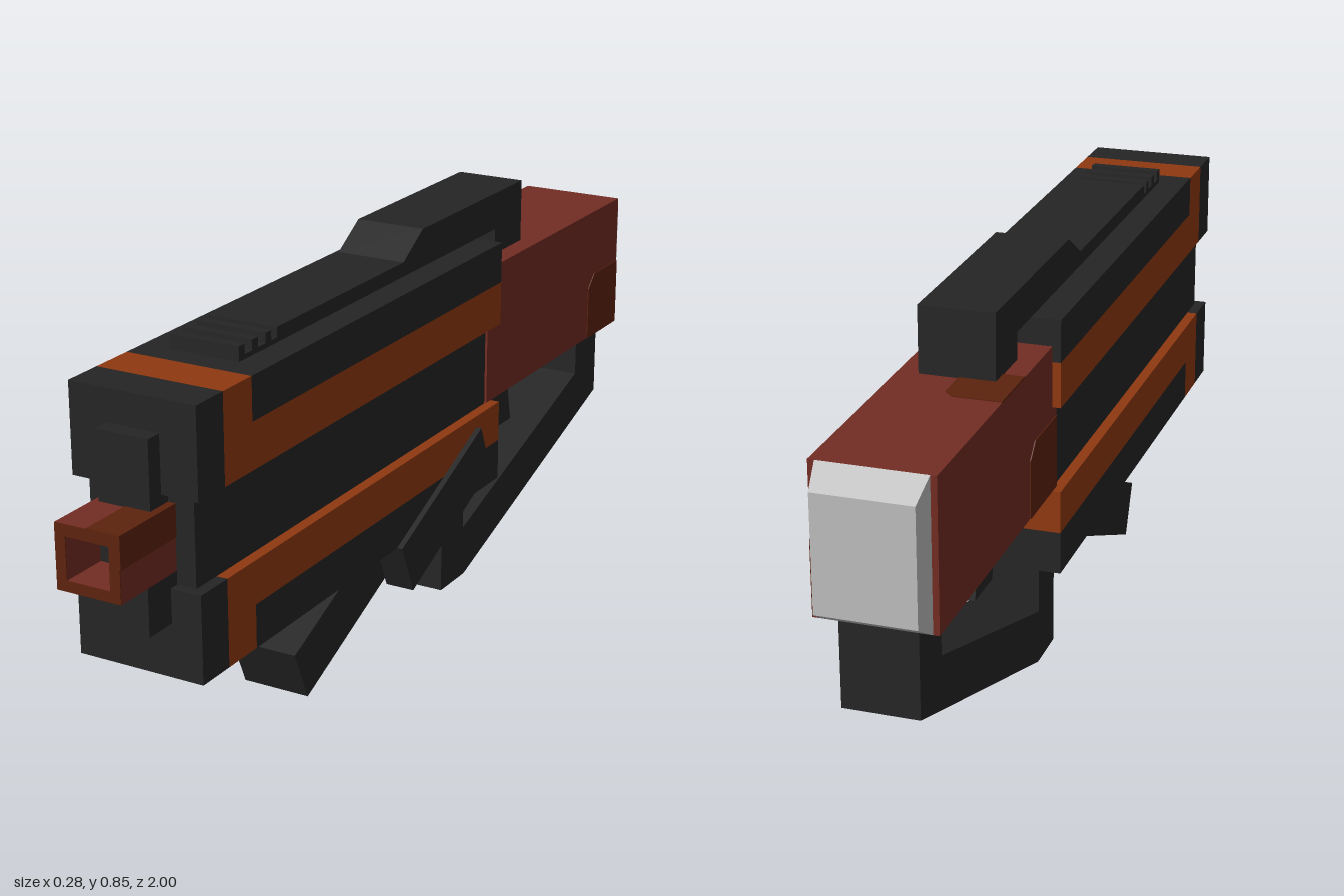
import * as THREE from 'three';

const mat = (name, color) => {
  const m = new THREE.MeshStandardMaterial({ color });
  m.name = name;
  return m;
};

export function createModel() {
  const model = new THREE.Group();
  model.name = 'blaster';
  const dark = mat('charcoal', 0x252525);
  const orange = mat('burnt orange', 0x8e380f);
  const red = mat('rust red', 0x722c23);
  const brown = mat('dark brown', 0x5c220d);
  const grey = mat('light grey', 0xbcbcbc);

  const add = (name, geometry, material) => {
    const mesh = new THREE.Mesh(geometry, material);
    mesh.name = name;
    model.add(mesh);
    return mesh;
  };
  // Box given by its limits on each axis
  const box = (name, material, [x0, x1], [y0, y1], [z0, z1]) => {
    const g = new THREE.BoxGeometry(x1 - x0, y1 - y0, z1 - z0);
    g.translate((x0 + x1) / 2, (y0 + y1) / 2, (z0 + z1) / 2);
    return add(name, g, material);
  };
  // Side profile of [z, y] points, extruded across x
  const profile = (name, material, points, [x0, x1]) => {
    const shape = new THREE.Shape(points.map(([z, y]) => new THREE.Vector2(z, y)));
    const g = new THREE.ExtrudeGeometry(shape, { depth: x1 - x0, bevelEnabled: false });
    g.rotateY(-Math.PI / 2).translate(x1, 0, 0);
    return add(name, g, material);
  };

  // Upper and lower body shells: dark nose, orange band and stripe, dark outer slab
  const bodyX = [-0.142, 0.128];
  const shells = [
    ['upper', [0.595, 0.775], [0.595, 0.688], [0.688, 0.775]],
    ['lower', [0.242, 0.418], [0.33, 0.418], [0.242, 0.33]],
  ];
  for (const [side, full, stripe, slab] of shells) {
    box(side + 'Nose', dark, bodyX, full, [0.765, 0.85]);
    box(side + 'Band', orange, bodyX, full, [0.672, 0.765]);
    box(side + 'Stripe', orange, bodyX, stripe, [-0.31, 0.672]);
    box(side + 'Slab', dark, bodyX, slab, [-0.31, 0.672]);
  }

  // Core between the shells
  box('core', dark, [-0.12, 0.105], [0.41, 0.6], [-0.285, 0.83]);

  // Rear housing with worn patches and a tapered end cap
  box('rearHousing', red, [-0.125, 0.11], [0.42, 0.72], [-0.95, -0.285]);
  profile('leftPatch', brown, [[-0.95, 0.42], [-0.795, 0.42], [-0.795, 0.54],
    [-0.825, 0.57], [-0.95, 0.57]], [0.108, 0.112]);
  profile('rightPatch', brown, [[-0.45, 0.42], [-0.286, 0.42], [-0.286, 0.57],
    [-0.42, 0.57], [-0.45, 0.54]], [-0.127, -0.123]);
  const topPatch = new THREE.Shape([[-0.125, 0.48], [-0.01, 0.48], [-0.01, 0.59],
    [-0.03, 0.61], [-0.125, 0.61]].map(([x, z]) => new THREE.Vector2(x, z)));
  add('topPatch', new THREE.ExtrudeGeometry(topPatch, { depth: 0.004, bevelEnabled: false })
    .rotateX(-Math.PI / 2).translate(0, 0.718, 0), brown);

  const cap = new THREE.BoxGeometry(0.21, 0.3, 0.05);
  const p = cap.attributes.position;
  for (let i = 0; i < p.count; i++) {
    if (p.getZ(i) < 0) p.setXY(i, p.getX(i) * 0.92, p.getY(i) * 0.77 - 0.003);
  }
  cap.computeVertexNormals();
  cap.translate(-0.008, 0.57, -0.975);
  add('endCap', cap, grey);

  // Hollow square barrel with a brown mouth and worn corner
  const ring = new THREE.Shape([[-0.072, 0.445], [0.064, 0.445], [0.064, 0.573], [-0.072, 0.573]]
    .map(([x, y]) => new THREE.Vector2(x, y)));
  ring.holes.push(new THREE.Path([[-0.05, 0.466], [-0.05, 0.55], [0.042, 0.55], [0.042, 0.466]]
    .map(([x, y]) => new THREE.Vector2(x, y))));
  add('barrel', new THREE.ExtrudeGeometry(ring, { depth: 0.17, bevelEnabled: false })
    .translate(0, 0, 0.828), red);
  add('barrelMouth', new THREE.ExtrudeGeometry(ring, { depth: 0.002, bevelEnabled: false })
    .translate(0, 0, 0.998), brown);
  box('boreFloor', dark, [-0.05, 0.042], [0.466, 0.55], [0.83, 0.9]);
  box('barrelTopWear', brown, [-0.004, 0.066], [0.571, 0.575], [0.83, 1]);
  box('barrelSideWear', brown, [0.062, 0.066], [0.51, 0.575], [0.83, 1]);

  // Blocks above and below the barrel
  box('frontSight', dark, [-0.06, 0.05], [0.573, 0.71], [0.83, 0.885]);
  box('barrelSupport', dark, [-0.072, 0.064], [0.35, 0.445], [0.82, 0.92]);

  // Top rail rising into the rear handle, with cross ribs at the front
  const railX = [-0.083, 0.068];
  profile('topRail', dark, [[0.49, 0.77], [0.49, 0.805], [0.01, 0.805], [-0.07, 0.855],
    [-0.52, 0.855], [-0.52, 0.715], [-0.395, 0.715], [-0.395, 0.775], [-0.3, 0.775]], railX);
  box('ribBase', dark, railX, [0.77, 0.785], [0.49, 0.62]);
  for (let i = 0; i < 3; i++) {
    const z = 0.6 - i * 0.045;
    box('rib' + (i + 1), dark, railX, [0.78, 0.805], [z, z + 0.02]);
  }

  // Trigger and the grip loop around it
  profile('trigger', dark, [[-0.43, 0.43], [-0.455, 0.285], [-0.555, 0.285], [-0.525, 0.43]],
    [-0.05, 0.035]);
  profile('gripLoop', dark, [[-0.165, 0.25], [-0.165, 0.015], [-0.27, 0.015], [-0.94, 0.242],
    [-0.94, 0.425], [-0.83, 0.425], [-0.83, 0.315], [-0.265, 0.127], [-0.265, 0.25]], railX);

  // Slanted foregrip and the side arm that carries it
  profile('foregrip', dark, [[0.44, 0.112], [0.393, 0.003], [-0.2, 0.262], [-0.2, 0.39]],
    [-0.081, 0.066]);
  profile('sideArm', dark, [[0.14, 0.243], [0.093, 0.133], [-0.25, 0.285], [-0.205, 0.393]],
    [0.077, 0.14]);

  return model;
}
